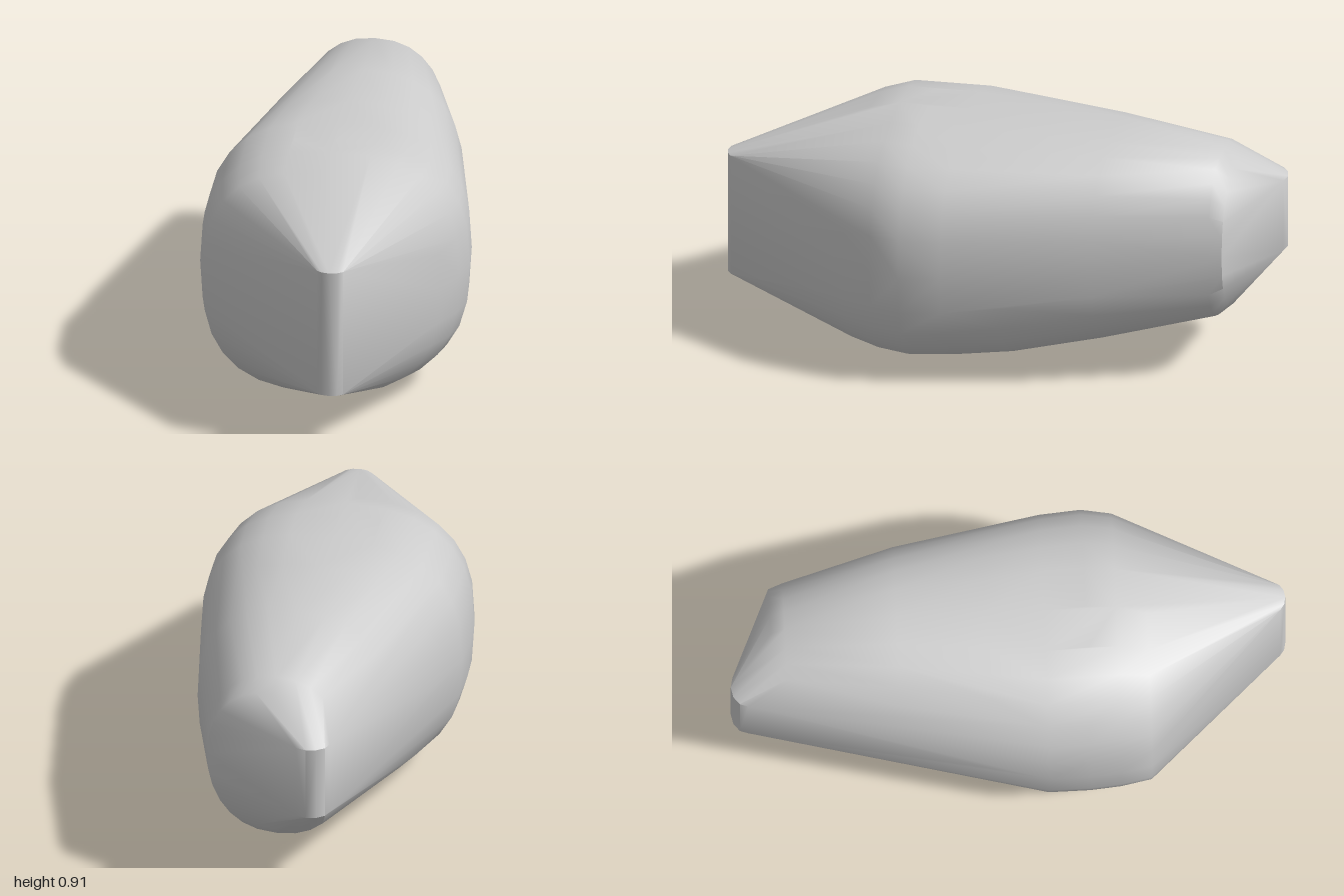
import * as THREE from 'three';
import { ConvexGeometry } from 'three/addons/geometries/ConvexGeometry.js';
import { toCreasedNormals } from 'three/addons/utils/BufferGeometryUtils.js';

// Cross-sections along the stone: z, left edge, right edge, bottom, top, squareness
const SECTIONS = [
  [0.5, -0.45, 0.41, 0.02, 0.868, 2.6],
  [0.39, -0.475, 0.465, 0.006, 0.908, 2.6],
  [0.28, -0.485, 0.485, 0, 0.91, 2.6],
  [0.13, -0.49, 0.47, 0.012, 0.912, 2.6],
  [-0.08, -0.443, 0.425, 0.035, 0.912, 2.5],
  [-0.4, -0.37, 0.36, 0.112, 0.903, 2.4],
  [-0.8, -0.28, 0.235, 0.215, 0.86, 2.3],
  [-0.85, -0.268, 0.22, 0.262, 0.82, 2.3],
];

// Narrow blunt ridges at both ends: x centre, half width, bottom, top, z of the face, depth
const RIDGES = [
  [0.085, 0.055, 0.215, 0.69, 1, -0.04],
  [-0.175, 0.075, 0.41, 0.69, -1, 0.06],
];

function sectionPoints([z, left, right, bottom, top, power], count = 28) {
  const points = [];
  const bend = (v) => Math.sign(v) * Math.pow(Math.abs(v), 2 / power);
  for (let i = 0; i < count; i++) {
    const a = (i / count) * Math.PI * 2;
    points.push(new THREE.Vector3(
      (left + right) / 2 + bend(Math.cos(a)) * (right - left) / 2,
      (bottom + top) / 2 + bend(Math.sin(a)) * (top - bottom) / 2,
      z));
  }
  return points;
}

function ridgePoints([x, half, bottom, top, z, depth]) {
  const points = [];
  for (let i = 0; i <= 6; i++) {
    const a = (i / 6) * Math.PI;
    for (const y of [bottom, top]) {
      points.push(new THREE.Vector3(x + Math.cos(a) * half, y, z + depth * (1 - Math.sin(a))));
    }
  }
  return points;
}

export function createModel() {
  const group = new THREE.Group();
  group.name = 'stone';

  // Taut skin over the sections and end ridges, smooth except at strong edges
  const points = [...SECTIONS.flatMap((s) => sectionPoints(s)), ...RIDGES.flatMap(ridgePoints)];
  const geometry = toCreasedNormals(new ConvexGeometry(points), 0.75);
  const body = new THREE.Mesh(geometry, new THREE.MeshStandardMaterial({ color: 0xcccccc }));
  body.name = 'stoneBody';
  group.add(body);
  return group;
}
